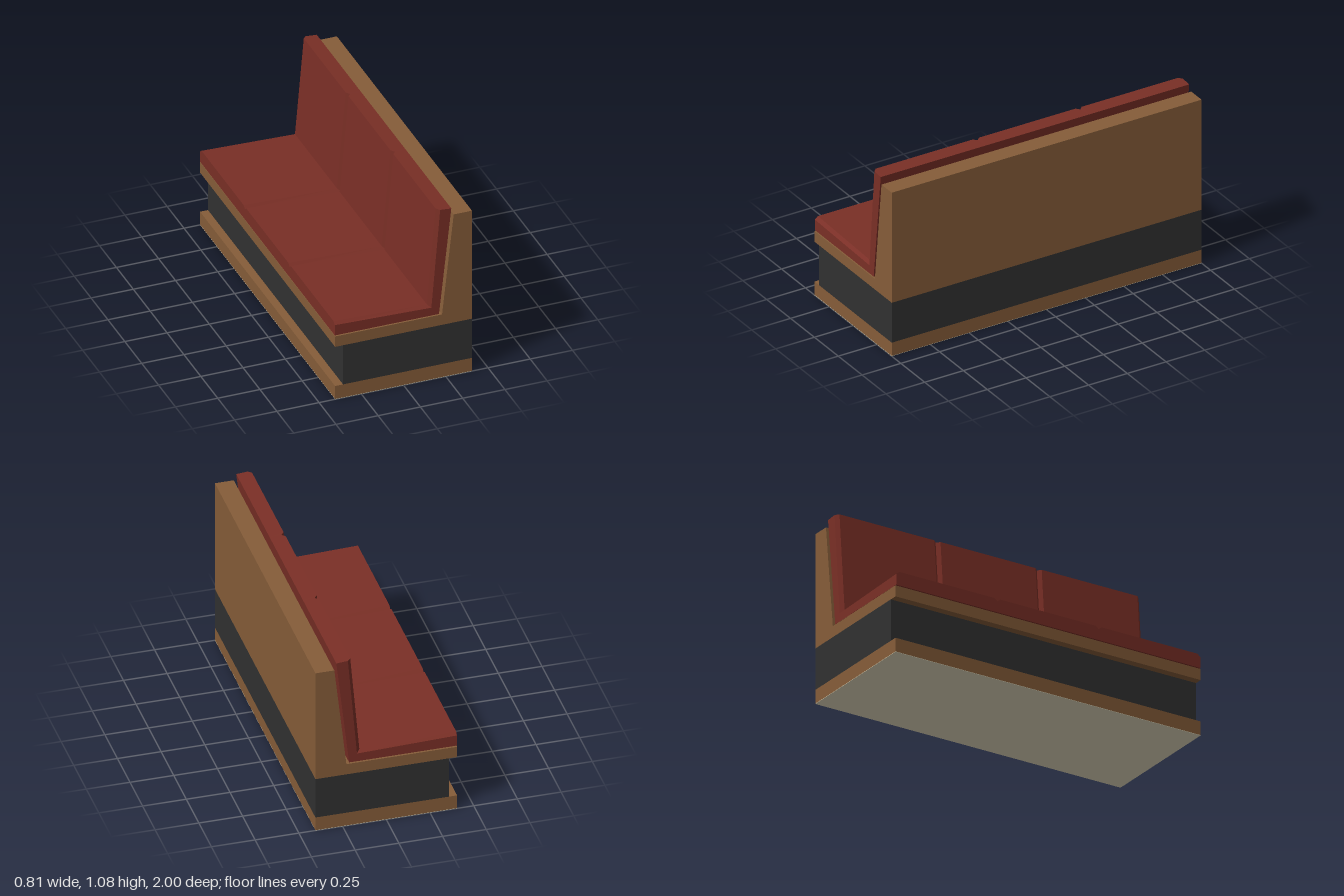
import * as THREE from 'three';

const material = (name, color) => {
  const m = new THREE.MeshStandardMaterial({ color });
  m.name = name;
  return m;
};

// Box given by its x and y limits, running the full length in z
function slab(name, x0, x1, y0, y1, mat) {
  const mesh = new THREE.Mesh(new THREE.BoxGeometry(x1 - x0, y1 - y0, 2), mat);
  mesh.position.set((x0 + x1) / 2, (y0 + y1) / 2, 0);
  mesh.name = name;
  return mesh;
}

// Joins counter-clockwise profiles of equal size, ordered by rising z, with flat caps
function loft(sections) {
  const positions = [];
  const put = (s, i) => positions.push(s.points[i][0], s.points[i][1], s.z);
  const n = sections[0].points.length;
  for (let k = 0; k < sections.length - 1; k++) {
    const p = sections[k], q = sections[k + 1];
    for (let i = 0; i < n; i++) {
      const j = (i + 1) % n;
      put(p, i); put(p, j); put(q, j);
      put(p, i); put(q, j); put(q, i);
    }
  }
  const first = sections[0], last = sections[sections.length - 1];
  const contour = first.points.map(([x, y]) => new THREE.Vector2(x, y));
  for (const [a, b, c] of THREE.ShapeUtils.triangulateShape(contour, [])) {
    put(last, a); put(last, b); put(last, c);
    put(first, a); put(first, c); put(first, b);
  }
  const geometry = new THREE.BufferGeometry();
  geometry.setAttribute('position', new THREE.Float32BufferAttribute(positions, 3));
  geometry.computeVertexNormals();
  return geometry;
}

export function createModel() {
  const group = new THREE.Group();
  group.name = 'boothBench';
  const wood = material('brownWood', 0x865d39);
  const dark = material('darkPanel', 0x313131);
  const red = material('redUpholstery', 0x7a2f26);
  const cream = material('creamUnderside', 0xe3dbbd);

  // Plinth, recessed panel and underside
  group.add(slab('underside', -0.405, 0.405, 0, 0.002, cream));
  group.add(slab('plinth', -0.405, 0.405, 0.002, 0.085, wood));
  group.add(slab('recessedPanel', -0.358, 0.405, 0.085, 0.336, dark));

  // Seat board with the sloping backrest frame in one piece
  const frame = [[-0.405, 0.336], [0.405, 0.336], [0.405, 1.029],
    [0.297, 1.029], [0.228, 0.403], [-0.405, 0.403]];
  const frameMesh = new THREE.Mesh(loft([{ z: -1, points: frame }, { z: 1, points: frame }]), wood);
  frameMesh.name = 'seatAndBackFrame';
  group.add(frameMesh);

  // Three L-shaped cushions, bevelled at both ends to form V grooves
  const outer = [[-0.406, 0.408], [0.211, 0.408], [0.284, 1.069]];
  const full = [...outer, [0.199, 1.076], [0.147, 0.473], [-0.406, 0.49]];
  const inset = [...outer, [0.218, 1.074], [0.166, 0.458], [-0.406, 0.474]];
  const joints = [-0.995, -0.333, 0.33, 0.997];
  const bevel = 0.02;
  for (let i = 0; i < 3; i++) {
    const z0 = joints[i], z1 = joints[i + 1];
    const cushion = new THREE.Mesh(loft([
      { z: z0, points: inset }, { z: z0 + bevel, points: full },
      { z: z1 - bevel, points: full }, { z: z1, points: inset },
    ]), red);
    cushion.name = `cushion${i + 1}`;
    group.add(cushion);
  }
  return group;
}
